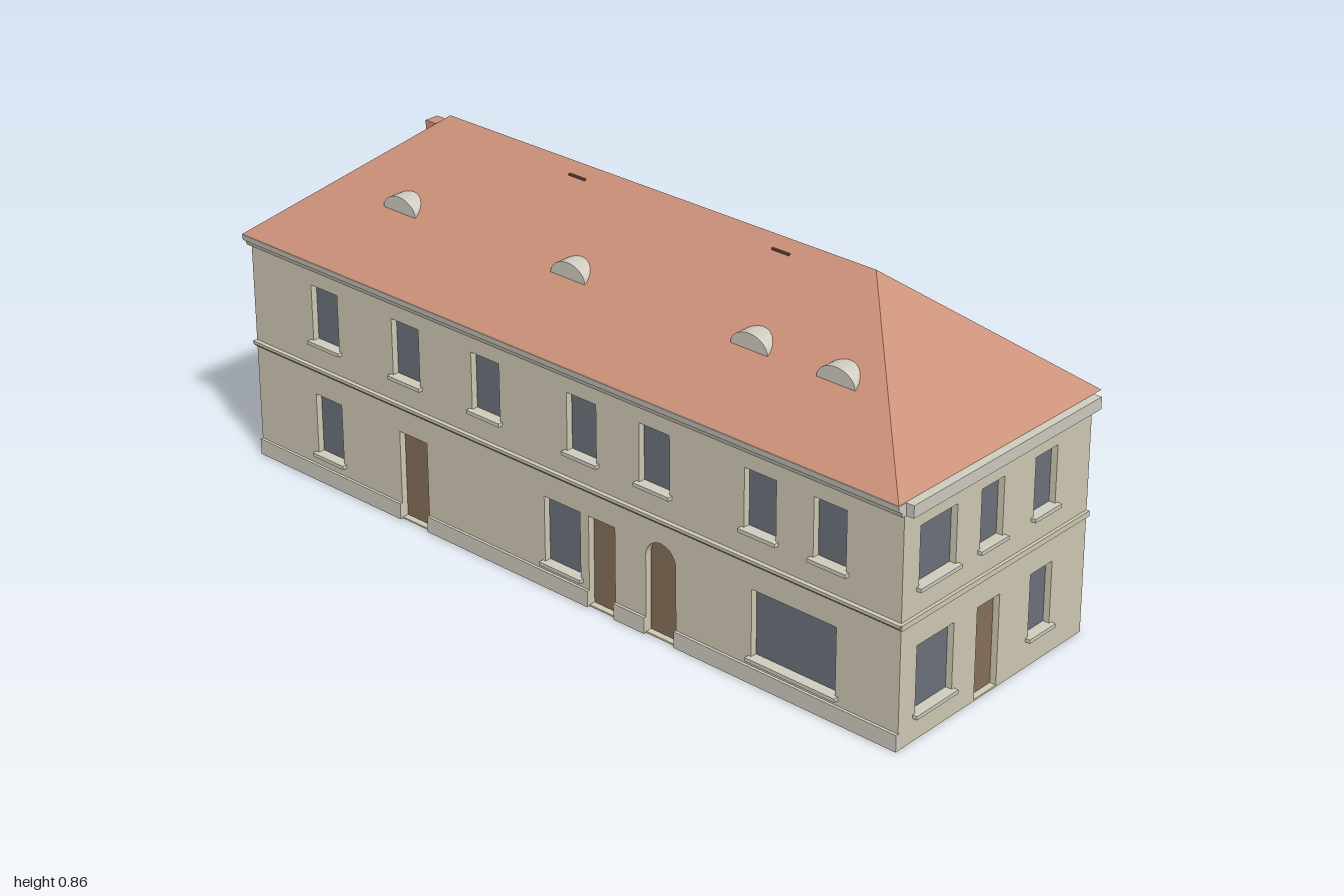
import * as THREE from 'three';
import { toCreasedNormals } from 'three/addons/utils/BufferGeometryUtils.js';

const mat = (color) => new THREE.MeshStandardMaterial({ color });
const M = {
  wall: mat(0xd0cab4), plain: mat(0xcccccc), trim: mat(0xd0ccc0), roof: mat(0xcc917a),
  glass: mat(0x6c717c), door: mat(0x87705a), dark: mat(0x6b4a3e),
};
const FRONT = 0.41, EAVE = 0.575, DEPTH = 0.02;

function add(parent, name, geometry, material, x = 0, y = 0, z = 0) {
  const mesh = new THREE.Mesh(geometry, material);
  mesh.name = name;
  mesh.position.set(x, y, z);
  parent.add(mesh);
  return mesh;
}

// Box given by its limits
function box(parent, name, material, x0, x1, y0, y1, z0, z1) {
  return add(parent, name, new THREE.BoxGeometry(x1 - x0, y1 - y0, z1 - z0), material,
    (x0 + x1) / 2, (y0 + y1) / 2, (z0 + z1) / 2);
}

const polygon = (pts) => new THREE.Shape(pts.map(([x, y]) => new THREE.Vector2(x, y)));
const extrude = (shape, depth) =>
  new THREE.ExtrudeGeometry(shape, { depth, bevelEnabled: false, curveSegments: 12 });

// Extrude a [z, y] profile along x
function extrudeX(parent, name, material, profile, x0, x1) {
  const g = extrude(polygon(profile.map(([z, y]) => [-z, y])), x1 - x0).rotateY(Math.PI / 2);
  return add(parent, name, g, material, x0);
}

// Extrude an [x, z] footprint from y0 up to y1
function extrudeY(parent, name, material, plan, y0, y1) {
  const g = extrude(polygon(plan.map(([x, z]) => [x, -z])), y1 - y0).rotateX(-Math.PI / 2);
  return add(parent, name, g, material, 0, y0);
}

// Outline of an opening, optionally with a round head
function opening({ u0, u1, v0, v1, arch }, Type) {
  const s = new Type(), r = (u1 - u0) / 2, spring = arch ? v1 - r : v1;
  s.moveTo(u0, v0);
  s.lineTo(u1, v0);
  s.lineTo(u1, spring);
  if (arch) s.absarc(u0 + r, spring, r, 0, Math.PI, false);
  else s.lineTo(u0, v1);
  s.lineTo(u0, v0);
  return s;
}

// Wall with recessed windows and doors; outer face on local z = 0
function facade(name, u0, u1, openings) {
  const group = new THREE.Group();
  group.name = name;
  const shape = polygon([[u0, 0], [u1, 0], [u1, EAVE], [u0, EAVE]]);
  for (const o of openings) {
    shape.holes.push(opening(o, THREE.Path));
    const kind = o.door ? 'door' : 'windowPane';
    add(group, kind, new THREE.ShapeGeometry(opening(o, THREE.Shape)),
      o.door ? M.door : M.glass, 0, 0, -0.016);
    if (!o.door) box(group, 'sill', M.trim, o.u0 - 0.008, o.u1 + 0.008, o.v0 - 0.009, o.v0, -0.016, 0.012);
  }
  add(group, 'facadeWall', extrude(shape, DEPTH), M.wall, 0, 0, -DEPTH);
  return group;
}

const win = (u0, u1, v0, v1) => ({ u0, u1, v0, v1 });
const door = (u0, u1, v1, arch = false) => ({ u0, u1, v0: 0.004, v1, arch, door: true });

function roofGeometry() {
  const A = [-0.997, EAVE, 0.433], B = [0.978, EAVE, 0.433], C = [0.954, EAVE, -0.26], D = [-0.997, EAVE, -0.26];
  const L = [-0.65, 0.863, 0.088], R = [0.62, 0.863, 0.088];
  const faces = [[A, B, R], [A, R, L], [B, C, R], [C, D, L], [C, L, R], [D, A, L], [A, D, C], [A, C, B]];
  const g = new THREE.BufferGeometry();
  g.setAttribute('position', new THREE.Float32BufferAttribute(faces.flat(2), 3));
  g.computeVertexNormals();
  return g;
}

export function createModel() {
  const house = new THREE.Group();
  house.name = 'house';

  // Plain core behind the two facades, with the stepped rear wall
  extrudeY(house, 'body', M.plain, [
    [-0.993, FRONT - DEPTH], [0.954, FRONT - DEPTH], [0.931, -0.235],
    [-0.03, -0.235], [-0.03, -0.26], [-0.993, -0.26],
  ], 0, EAVE);

  // Front facade
  const upper = [-0.745, -0.475, -0.218, 0.078, 0.293, 0.593, 0.783];
  house.add(facade('frontFacade', -0.993, 0.975, [
    ...upper.map((x) => win(x - 0.044, x + 0.044, 0.362, 0.502)),
    win(-0.79, -0.702, 0.072, 0.224), win(-0.04, 0.07, 0.062, 0.224), win(0.572, 0.805, 0.062, 0.224),
    door(-0.505, -0.415, 0.224), door(0.096, 0.175, 0.224), door(0.267, 0.355, 0.235, true),
  ]));
  house.getObjectByName('frontFacade').position.z = FRONT;

  // Right facade, set slightly out of square
  const slant = Math.atan2(0.024, 0.645);
  const side = facade('rightFacade', 0.003, 0.645, [
    win(0.055, 0.178, 0.362, 0.5), win(0.26, 0.338, 0.362, 0.5), win(0.447, 0.525, 0.362, 0.5),
    win(0.055, 0.18, 0.065, 0.224), win(0.447, 0.525, 0.073, 0.224), door(0.26, 0.338, 0.224),
  ]);
  side.position.set(0.975, 0, FRONT);
  side.rotation.y = Math.PI / 2 + slant;
  box(side, 'sideStringCourse', M.wall, -0.008, 0.645, 0.286, 0.299, -0.01, 0.008);
  box(side, 'sideCornice', M.trim, 0, 0.645, 0.545, EAVE - 0.001, -0.01, 0.023);
  house.add(side);

  // Front mouldings and plinth between the doors
  extrudeX(house, 'frontStringCourse', M.wall,
    [[0.4, 0.286], [0.416, 0.286], [0.421, 0.292], [0.421, 0.299], [0.4, 0.299]], -0.995, 0.98);
  extrudeX(house, 'frontCornice', M.trim, [
    [0.4, 0.545], [0.421, 0.545], [0.424, 0.556], [0.432, 0.56], [0.434, 0.574], [0.4, 0.574],
  ], -0.997, 0.979);
  for (const [a, b] of [[-0.993, -0.505], [-0.415, 0.096], [0.175, 0.267], [0.355, 0.976]])
    box(house, 'plinth', M.trim, a, b, 0, 0.04, FRONT - 0.005, FRONT + 0.007);

  // Hipped roof with eyebrow dormers, hatches and chimney
  add(house, 'mainRoof', roofGeometry(), M.roof);
  const brow = new THREE.Shape();
  brow.absellipse(0, 0, 0.052, 0.037, 0, Math.PI, false);
  const browGeometry = toCreasedNormals(extrude(brow, 0.06), 0.6);
  for (const x of [-0.612, -0.078, 0.45, 0.687])
    add(house, 'eyebrowDormer', browGeometry, M.trim, x, 0.696, 0.229);
  for (const x of [-0.217, 0.382])
    box(house, 'roofHatch', M.dark, x - 0.025, x + 0.025, 0.833, 0.843, 0.1, 0.117);
  box(house, 'chimney', M.roof, -0.71, -0.672, 0.78, 0.842, 0.073, 0.11);

  // Rear lean-to
  extrudeX(house, 'annexWalls', M.plain,
    [[-0.25, 0], [-0.418, 0], [-0.418, 0.375], [-0.25, 0.414]], -0.993, -0.031);
  extrudeX(house, 'annexRoof', M.roof,
    [[-0.255, 0.419], [-0.437, 0.376], [-0.434, 0.371], [-0.255, 0.413]], -1, -0.03);
  return house;
}
